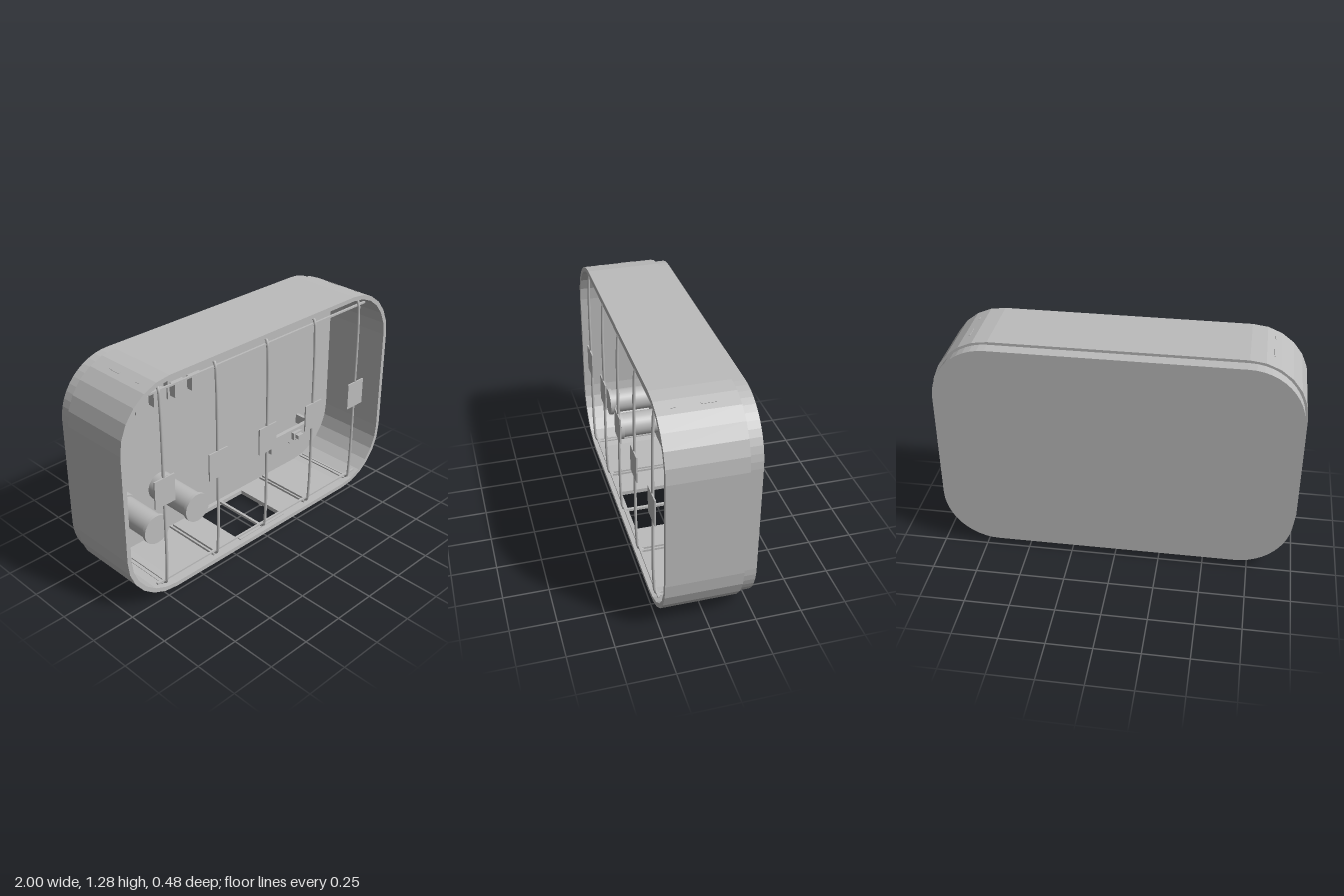
import * as THREE from 'three';

export function createModel() {
  const root = new THREE.Group();
  const grey = new THREE.MeshStandardMaterial({ color: 0xbcbcbc });
  grey.name = 'grey';

  function add(name, geometry, x = 0, y = 0, z = 0, parent = root) {
    const m = new THREE.Mesh(geometry, grey);
    m.name = name;
    m.position.set(x, y, z);
    parent.add(m);
    return m;
  }
  // box given by its limits
  function box(name, x0, x1, y0, y1, z0, z1) {
    return add(name, new THREE.BoxGeometry(x1 - x0, y1 - y0, z1 - z0),
      (x0 + x1) / 2, (y0 + y1) / 2, (z0 + z1) / 2);
  }
  function disc(name, r, z0, z1, x, y, n = 32) {
    const g = new THREE.CylinderGeometry(r, r, z1 - z0, n).rotateX(Math.PI / 2);
    return add(name, g, x, y, (z0 + z1) / 2);
  }
  // rounded rectangle, counter-clockwise from the bottom right corner
  function outline(hw, y0, y1, r, n) {
    const pts = [];
    const corners = [[1, y0 + r, -90], [1, y1 - r, 0], [-1, y1 - r, 90], [-1, y0 + r, 180]];
    for (const [sx, cy, start] of corners) {
      for (let i = 0; i <= n; i++) {
        const a = THREE.MathUtils.degToRad(start + 90 * i / n);
        pts.push(new THREE.Vector2(sx * (hw - r) + r * Math.cos(a), cy + r * Math.sin(a)));
      }
    }
    return pts;
  }
  function extrude(pts, z0, z1) {
    const g = new THREE.ExtrudeGeometry(new THREE.Shape(pts), { depth: z1 - z0, bevelEnabled: false });
    return g.translate(0, 0, z0);
  }

  // Faceted casing, left open in the middle of the floor
  const gap = 0.18, t = 0.025;
  const V = (x, y) => new THREE.Vector2(x, y);
  const outer = outline(1, 0.02, 1.28, 0.32, 6);
  const inner = outline(1 - t, 0.02 + t, 1.28 - t, 0.32 - t, 6).reverse();
  add('casing', extrude([V(gap, 0.02), ...outer, V(-gap, 0.02),
    V(-gap, 0.02 + t), ...inner, V(gap, 0.02 + t)], -0.17, 0.24));
  box('floorFrontStrip', -gap, gap, 0.02, 0.045, 0.205, 0.24);
  box('floorBackStrip', -gap, gap, 0.02, 0.045, -0.17, -0.145);
  box('hatchRail', -gap, gap, 0.015, 0.05, 0.19, 0.21);

  // Back plate, slightly inset
  add('backPlate', extrude(outline(0.985, 0.035, 1.265, 0.305, 12), -0.24, -0.17));

  // Fixing stud below the floor
  add('stud', new THREE.CylinderGeometry(0.015, 0.015, 0.012, 16), 0.205, 0.006, 0);
  add('studNeck', new THREE.CylinderGeometry(0.008, 0.008, 0.03, 12), 0.205, 0.02, 0);

  // Horizontal rails that carry the wires
  for (const y of [0.086, 1.21]) box('rail', -0.8, 0.8, y - 0.005, y + 0.005, 0.212, 0.224);
  box('backRail', -0.85, 0.85, 0.992, 1.002, -0.17, -0.16);

  // Five bent wires with square tags, and the floor bars behind them
  for (let i = -2; i <= 2; i++) {
    const x = i * 0.37;
    const path = new THREE.CatmullRomCurve3([
      [0.05, 0.195], [0.07, 0.22], [0.16, 0.23], [0.65, 0.233],
      [1.14, 0.23], [1.23, 0.22], [1.25, 0.195],
    ].map(([y, z]) => new THREE.Vector3(x, y, z)));
    add('wire', new THREE.TubeGeometry(path, 40, 0.008, 8));
    box('tag', x - 0.066, x + 0.066, 0.57, 0.73, 0.234, 0.242);
    for (const s of [-1, 1]) {
      if (i !== 0) box('floorBar', x + s * 0.012 - 0.005, x + s * 0.012 + 0.005, 0.044, 0.058, -0.16, 0.21);
    }
  }
  box('hatchBar', -0.008, 0.008, 0.04, 0.055, -0.15, 0.21);

  // Two stout pegs on the back wall
  for (const x of [-0.72, -0.435]) {
    disc('pegFlange', 0.084, -0.17, -0.12, x, 0.355);
    disc('pegBody', 0.074, -0.12, 0.12, x, 0.355);
    disc('pegCap', 0.084, 0.12, 0.14, x, 0.355);
  }

  // Two switch blocks with paired push buttons
  for (const x of [-0.742, -0.495]) {
    box('switchPlate', x - 0.109, x + 0.109, 1.078, 1.185, 0.1, 0.13);
    box('switchArm', x - 0.03, x + 0.03, 1.1, 1.16, -0.17, 0.1);
    for (const s of [-1, 1]) {
      const bx = x + s * 0.056;
      box('button', bx - 0.04, bx + 0.04, 1.095, 1.168, 0.13, 0.17);
    }
  }

  // Latch panels standing off the back wall
  for (const [x0, x1, y0, y1, kx] of [[0.19, 0.85, 1.075, 1.175, 0.52], [0.32, 0.735, 0.29, 0.39, 0.53]]) {
    const y = (y0 + y1) / 2 + 0.01;
    box('latchPanel', x0, x1, y0, y1, -0.055, -0.03);
    box('latchBracket', x0 + 0.03, x0 + 0.05, y0 + 0.02, y1 - 0.02, -0.17, -0.055);
    box('latchBracket', x1 - 0.05, x1 - 0.03, y0 + 0.02, y1 - 0.02, -0.17, -0.055);
    box('latchBase', kx - 0.035, kx + 0.035, y - 0.022, y + 0.022, -0.03, -0.01);
    box('latchKnob', kx - 0.022, kx + 0.022, y - 0.012, y + 0.012, -0.01, 0.015);
    for (const d of [-0.06, 0, 0.05]) disc('pin', 0.005, -0.03, -0.02, kx + d, y0 + 0.025, 8);
  }

  // Clips under the roof and small pins
  for (const x of [-0.71, -0.25, 0.25, 0.71]) box('roofClip', x - 0.09, x + 0.09, 1.238, 1.25, 0.05, 0.2);
  for (const x of [0.47, 0.57]) disc('roofPin', 0.006, 0.1, 0.2, x, 1.235, 10);

  // Slim inserts on the upper corner facets
  for (const s of [-1, 1]) {
    for (const [z, len] of [[-0.02, 0.08], [0.15, 0.03]]) {
      const m = add('cornerInsert', new THREE.BoxGeometry(0.008, 0.004, len), s * 0.805, 1.252, z);
      m.rotation.z = -s * 0.39;
    }
  }
  return root;
}
